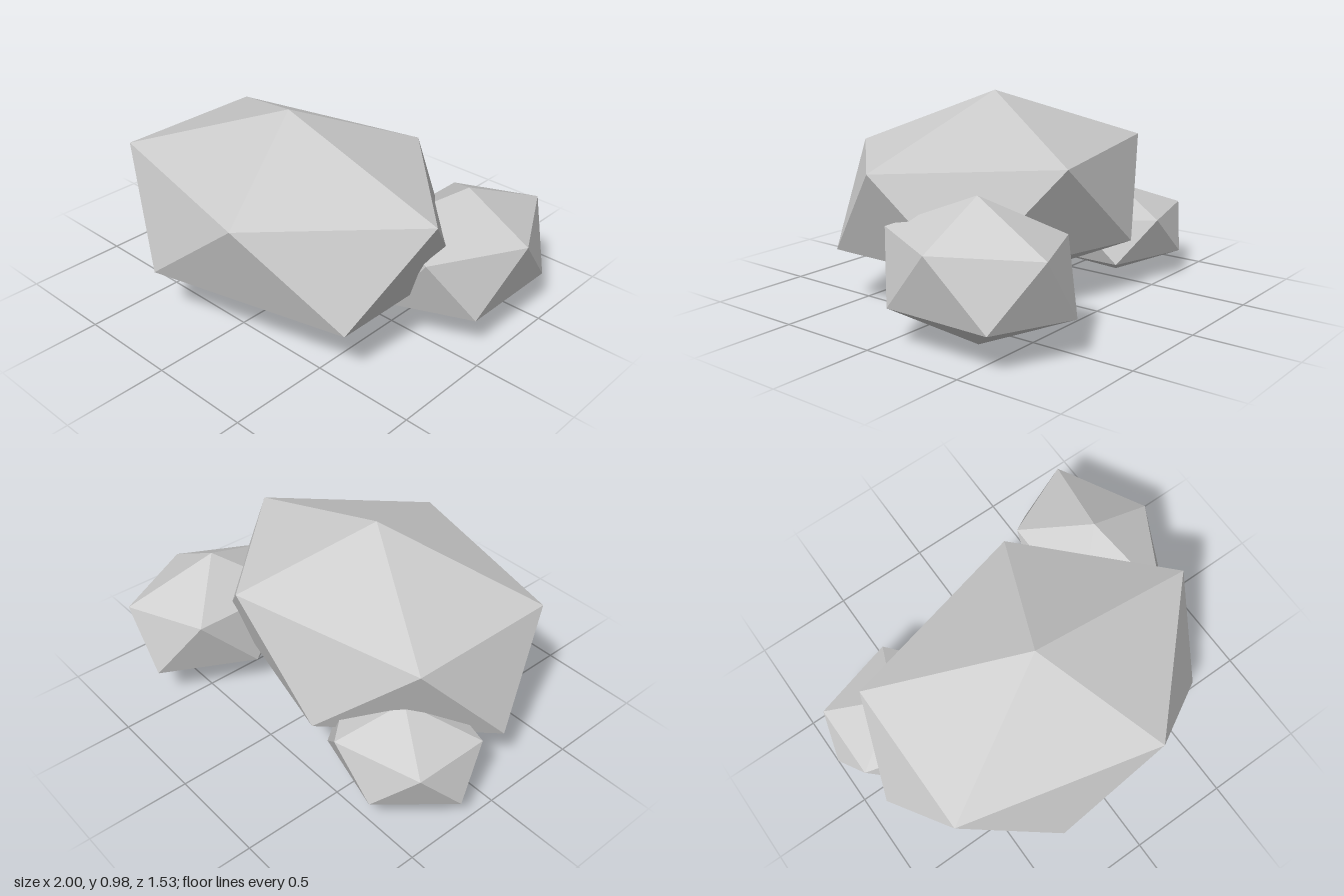
import * as THREE from 'three';

const material = new THREE.MeshStandardMaterial({ color: 0xcccccc, flatShading: true });

// A 20-sided rock standing on one point; rx, rz and height stretch it.
function rock(name, x, z, rx, height, rz) {
  const geometry = new THREE.IcosahedronGeometry(1, 0);
  // turn one corner straight up, with an upper ring corner towards +x
  geometry.rotateZ(-Math.atan(2 / (1 + Math.sqrt(5))));
  geometry.scale(rx, height / 2, rz);
  const mesh = new THREE.Mesh(geometry, material);
  mesh.name = name;
  mesh.position.set(x, height / 2, z);
  return mesh;
}

export function createModel() {
  const group = new THREE.Group();
  group.name = 'rockCluster';
  group.add(
    rock('mainRock', -0.04, 0.14, 0.98, 0.983, 0.736),
    rock('leftRock', 0.66, -0.328, 0.38, 0.656, 0.515),
    rock('rightRock', -0.622, -0.21, 0.423, 0.465, 0.362)
  );
  return group;
}
